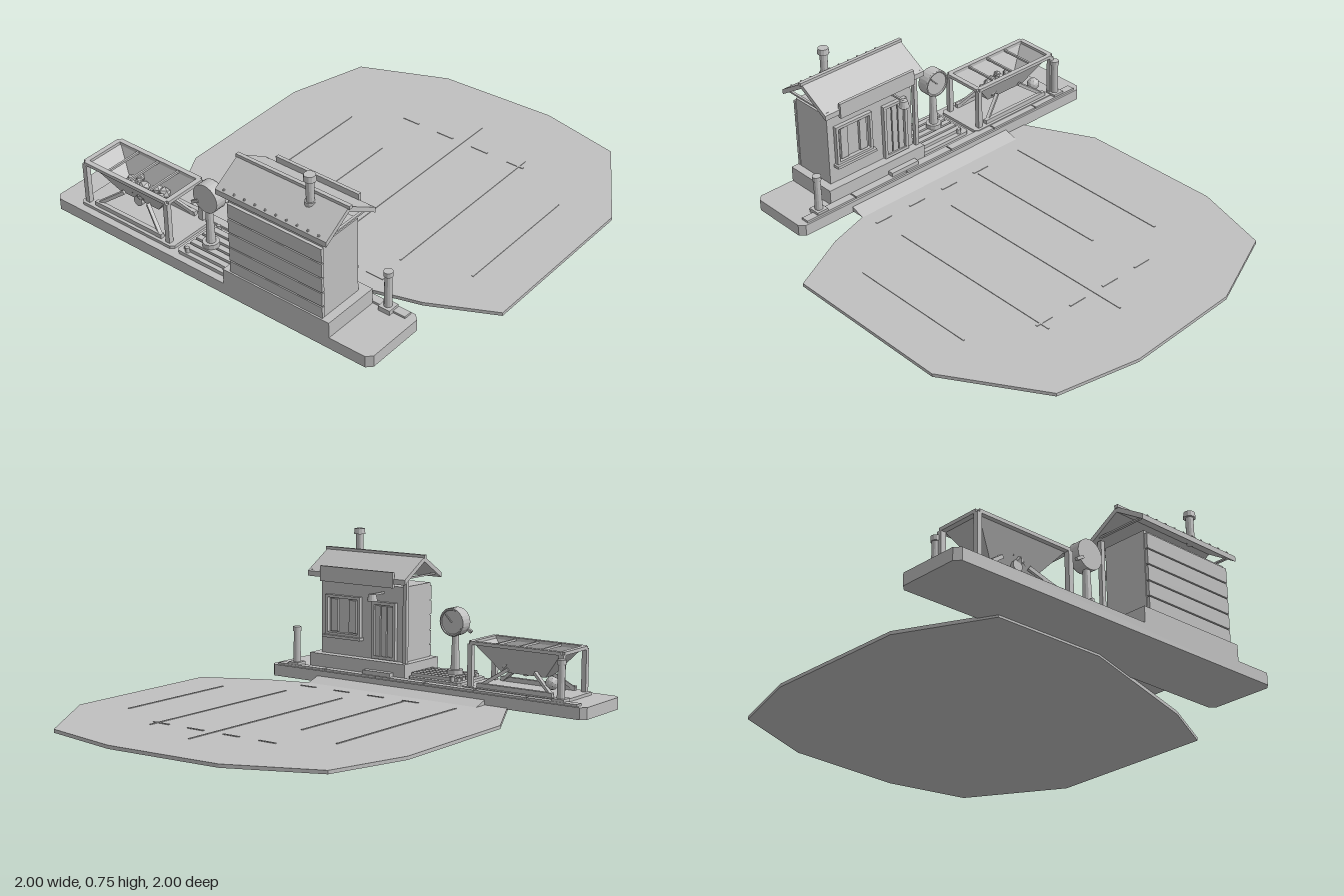
import * as THREE from 'three';

export function createModel() {
  const model = new THREE.Group();
  const grey = new THREE.MeshStandardMaterial({ color: 0xc0c0c0, flatShading: true, side: THREE.DoubleSide });
  grey.name = 'plain grey';

  const add = (name, geo, x = 0, y = 0, z = 0) => {
    const m = new THREE.Mesh(geo, grey);
    m.name = name;
    m.position.set(x, y, z);
    model.add(m);
    return m;
  };
  // Box given by its limits on each axis
  const box = (name, x0, x1, y0, y1, z0, z1) =>
    add(name, new THREE.BoxGeometry(x1 - x0, y1 - y0, z1 - z0), (x0 + x1) / 2, (y0 + y1) / 2, (z0 + z1) / 2);
  // Upright cylinder from y0 to y1
  const post = (name, x, z, y0, y1, r0, r1 = r0, n = 12) =>
    add(name, new THREE.CylinderGeometry(r1, r0, y1 - y0, n), x, (y0 + y1) / 2, z);
  // Square bar between two points
  const bar = (name, a, b, w) => {
    const p = new THREE.Vector3(...a), q = new THREE.Vector3(...b);
    const m = add(name, new THREE.BoxGeometry(w, w, p.distanceTo(q)));
    m.position.copy(p).lerp(q, 0.5);
    m.lookAt(q);
    return m;
  };
  // Flat slab from an outline of [x, z] points
  const slab = (name, pts, y0, y1) => {
    const shape = new THREE.Shape(pts.map(([x, z]) => new THREE.Vector2(x, -z)));
    const geo = new THREE.ExtrudeGeometry(shape, { depth: y1 - y0, bevelEnabled: false });
    return add(name, geo.rotateX(-Math.PI / 2), 0, y0, 0);
  };
  // Rectangle outline with cut corners
  const cut = (x0, x1, z0, z1, c) => [[x0 + c, z0], [x1 - c, z0], [x1, z0 + c], [x1, z1 - c],
    [x1 - c, z1], [x0 + c, z1], [x0, z1 - c], [x0, z0 + c]];
  // Prism along x from an outline of [z, y] points
  const prism = (name, pts, x0, x1) => {
    const shape = new THREE.Shape(pts.map(([z, y]) => new THREE.Vector2(-z, y)));
    const geo = new THREE.ExtrudeGeometry(shape, { depth: x1 - x0, bevelEnabled: false });
    return add(name, geo.rotateY(Math.PI / 2), x0, 0, 0);
  };

  // Yard with seams and dashes
  slab('yard', [[-0.56, 0.73], [-0.77, 0.32], [-0.78, -0.4], [-0.67, -0.79], [-0.26, -0.97], [0.32, -1],
    [0.72, -0.92], [1, -0.48], [1, 0.37], [0.7, 0.52], [0, 0.73]], 0.004, 0.02);
  for (const [x, z0, z1] of [[0.76, -0.41, 0.25], [0.45, -0.6, 0.35], [0.13, -0.71, 0.37], [-0.14, -0.28, 0.48], [-0.42, -0.4, 0.5]])
    box('yardSeam', x - 0.004, x + 0.004, 0.02, 0.023, z0, z1);
  for (const x of [0.43, 0.23, 0.03, -0.17])
    for (const z of [0.5, -0.55]) box('yardDash', x - 0.045, x + 0.045, 0.02, 0.023, z - 0.005, z + 0.005);

  // Platform, kerb and ramp
  slab('platform', cut(-1, 0.785, 0.65, 0.985, 0.025), 0.014, 0.07);
  prism('ramp', [[0.58, 0.02], [0.655, 0.02], [0.655, 0.045]], -0.48, 0.49);
  const kerb = [-0.96, -0.69, -0.41, -0.13, 0.15, 0.46, 0.745];
  for (let i = 0; i < 6; i++) box('kerbStone', kerb[i] + 0.003, kerb[i + 1] - 0.003, 0.07, 0.08, 0.66, 0.7);

  // Bollards
  for (const x of [-0.855, 0.65]) {
    box('bollardFoot', x - 0.03, x + 0.03, 0.07, 0.092, 0.663, 0.723);
    post('bollardPost', x, 0.693, 0.09, 0.25, 0.019, 0.016);
    post('bollardCap', x, 0.693, 0.245, 0.268, 0.021);
  }

  // Hut base and walls
  box('hutPlinth', 0.005, 0.575, 0.07, 0.145, 0.7, 0.985);
  box('hutWall', 0.04, 0.535, 0.145, 0.51, 0.745, 0.965);
  const rows = [0.148, 0.208, 0.278, 0.353, 0.425, 0.5];
  for (let i = 0; i < 5; i++) box('frontBoard', 0.043, 0.538, rows[i], rows[i + 1] - 0.006, 0.965, 0.98);
  for (const x of [0.025, 0.55]) if (x < 0.1) box('hutPost', x - 0.01, x + 0.01, 0.145, 0.54, 0.725, 0.745);

  // Rear window with shutters, and door
  const frame = (name, x0, x1, y0, y1, w) => {
    box(name, x0, x0 + w, y0, y1, 0.725, 0.745);
    box(name, x1 - w, x1, y0, y1, 0.725, 0.745);
    box(name, x0 + w, x1 - w, y1 - w, y1, 0.725, 0.745);
    box(name, x0 + w, x1 - w, y0, y0 + w, 0.725, 0.745);
  };
  frame('windowFrame', 0.29, 0.5, 0.24, 0.44, 0.014);
  box('windowSill', 0.28, 0.51, 0.228, 0.242, 0.712, 0.745);
  for (const x of [0.32, 0.43]) box('shutter', x, x + 0.04, 0.26, 0.42, 0.732, 0.745);
  frame('doorFrame', 0.08, 0.22, 0.15, 0.43, 0.015);
  for (let i = 0; i < 3; i++) box('doorPlank', 0.1 + i * 0.036, 0.13 + i * 0.036, 0.165, 0.41, 0.733, 0.745);
  box('doorStep', 0.07, 0.23, 0.07, 0.1, 0.67, 0.7);

  // Lamp over the door
  bar('lampArm', [0.16, 0.475, 0.745], [0.16, 0.475, 0.65], 0.01);
  post('lampShade', 0.16, 0.65, 0.445, 0.478, 0.026, 0.018);

  // Roof, ridge, ties, studs and rear board
  prism('frontRoof', [[0.855, 0.65], [1, 0.56], [1, 0.535], [0.855, 0.625]], 0, 0.58);
  prism('rearRoof', [[0.855, 0.65], [0.855, 0.625], [0.69, 0.528], [0.69, 0.553]], 0, 0.58);
  box('roofRidge', -0.004, 0.588, 0.642, 0.658, 0.846, 0.864);
  for (const x of [0.02, 0.56]) box('roofTie', x - 0.006, x + 0.006, 0.552, 0.56, 0.7, 0.98);
  for (let i = 0; i < 10; i++) add('roofStud', new THREE.SphereGeometry(0.006, 6, 4), 0.04 + i * 0.055, 0.566, 0.99);
  box('rearBoard', 0.065, 0.5, 0.51, 0.585, 0.682, 0.698);

  // Chimney
  post('chimneyPipe', 0.415, 0.895, 0.6, 0.73, 0.018);
  post('chimneyCollar', 0.415, 0.895, 0.61, 0.63, 0.024);
  post('chimneyCap', 0.415, 0.895, 0.728, 0.755, 0.028, 0.025);

  // Weighing plate and dial
  slab('scaleBase', cut(-0.295, 0, 0.72, 0.95, 0.012), 0.07, 0.087);
  for (let i = 0; i < 5; i++) box('scaleSlat', -0.27, -0.005, 0.087, 0.103, 0.745 + i * 0.039, 0.773 + i * 0.039);
  for (const z of [0.735, 0.935]) post('scaleBolt', -0.245, z, 0.087, 0.112, 0.01);
  post('dialFoot', -0.185, 0.85, 0.1, 0.125, 0.038);
  post('dialPost', -0.185, 0.85, 0.12, 0.36, 0.022, 0.013);
  add('dialCase', new THREE.CylinderGeometry(0.068, 0.068, 0.055, 24).rotateX(Math.PI / 2), -0.185, 0.355, 0.845);
  add('dialRim', new THREE.TorusGeometry(0.063, 0.006, 6, 24), -0.185, 0.355, 0.817);
  bar('dialHand', [-0.185, 0.355, 0.814], [-0.15, 0.39, 0.814], 0.006);
  bar('dialLever', [-0.225, 0.33, 0.87], [-0.262, 0.308, 0.87], 0.014);

  // Hopper floor and frame
  slab('hopperBase', cut(-0.875, -0.32, 0.69, 0.95, 0.015), 0.07, 0.084);
  const hx = [-0.845, -0.36], hz = [0.715, 0.925];
  for (const x of hx) {
    for (const z of hz) {
      box('hopperLeg', x - 0.012, x + 0.012, 0.08, 0.285, z - 0.012, z + 0.012);
      const s = x < -0.6 ? 1 : -1;
      bar('hopperStrut', [x + s * 0.05, 0.09, z], [x + s * 0.17, 0.175, 0.82 + (z - 0.82) * 0.5], 0.016);
    }
    box('hopperEndRim', x - 0.012, x + 0.012, 0.282, 0.298, hz[0], hz[1]);
  }
  for (const z of hz) {
    box('hopperSideRim', hx[0], hx[1], 0.282, 0.298, z - 0.012, z + 0.012);
    box('hopperFootRail', -0.8, -0.4, 0.084, 0.105, z - 0.01, z + 0.01);
  }
  for (const x of [-0.72, -0.6, -0.48]) box('hopperCrossBar', x - 0.005, x + 0.005, 0.284, 0.294, hz[0], hz[1]);

  // Open tapered trough: box without its lid, narrowed at the bottom
  const trough = new THREE.BoxGeometry(0.47, 0.135, 0.2);
  const p = trough.attributes.position;
  for (let i = 0; i < p.count; i++)
    if (p.getY(i) < 0) { p.setX(i, p.getX(i) * 0.5); p.setZ(i, p.getZ(i) * 0.35); }
  trough.setIndex([...trough.index.array].filter((_, i) => i < 12 || i > 17));
  trough.clearGroups();
  trough.computeVertexNormals();
  add('hopperTrough', trough, -0.6025, 0.2225, 0.82);
  add('hopperOutlet', new THREE.CylinderGeometry(0.025, 0.025, 0.05, 12).rotateX(Math.PI / 2), -0.59, 0.165, 0.85);

  // Lumps of load
  const lumps = [[-0.7, 0.8], [-0.67, 0.84], [-0.64, 0.81], [-0.62, 0.86], [-0.58, 0.86], [-0.6, 0.82],
    [-0.55, 0.855], [-0.54, 0.8], [-0.51, 0.79], [-0.66, 0.785], [-0.5, 0.83]];
  lumps.forEach(([x, z], i) => {
    const m = add('lump', new THREE.IcosahedronGeometry(0.022 + (i % 3) * 0.004, 0), x, 0.195 + (i % 2) * 0.015, z);
    m.rotation.set(i, i * 2, 0);
  });
  add('looseLump', new THREE.IcosahedronGeometry(0.032, 1), -0.77, 0.115 + 0.025, 0.76);

  return model;
}
